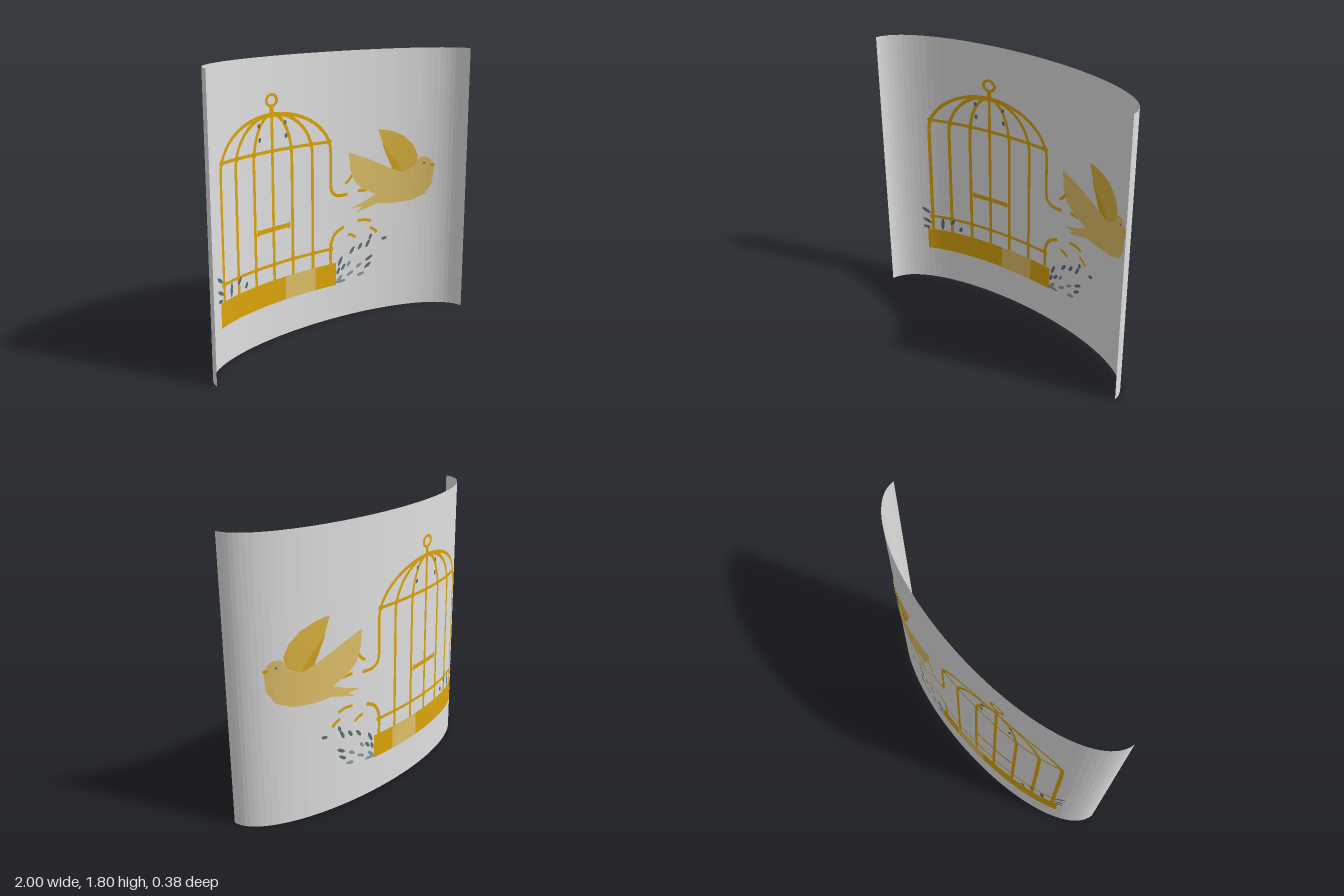
import * as THREE from 'three';

const DEPTH = 0.38, HEIGHT = 1.797, STRIPS = 48;
const mat = (name, color) => new THREE.MeshStandardMaterial({ name, color, side: THREE.DoubleSide });

// Half-ellipse plan of the panel: a list of corners with their inward normals
const corners = Array.from({ length: STRIPS + 1 }, (_, i) => {
  const t = Math.PI * i / STRIPS, x = -Math.cos(t), s = Math.sin(t);
  const n = new THREE.Vector2(-x, s / DEPTH).normalize();
  return { x, z: DEPTH / 2 - DEPTH * s, n };
});

// Keeps the part of a convex polygon where sign * (x - edge) >= 0
function clip(poly, edge, sign) {
  const out = [];
  poly.forEach((p, i) => {
    const q = poly[(i + 1) % poly.length];
    const dp = sign * (p[0] - edge), dq = sign * (q[0] - edge);
    if (dp >= 0) out.push(p);
    if (dp * dq < 0) {
      const f = dp / (dp - dq);
      out.push([edge, p[1] + (q[1] - p[1]) * f]);
    }
  });
  return out;
}

// Wraps flat shapes onto the curved panel, once for each offset from its surface
function wrap(shapes, offsets) {
  const flat = new THREE.ShapeGeometry(shapes, 10).toNonIndexed().attributes.position;
  const pos = [];
  for (let k = 0; k < flat.count; k += 3) {
    const tri = [0, 1, 2].map(j => [flat.getX(k + j), flat.getY(k + j)]);
    for (let i = 0; i < STRIPS; i++) {
      const a = corners[i], b = corners[i + 1];
      const poly = clip(clip(tri, a.x, 1), b.x, -1);
      if (poly.length < 3) continue;
      for (const o of offsets) {
        const place = ([x, y]) => {
          const f = (x - a.x) / (b.x - a.x), mix = THREE.MathUtils.lerp;
          return [mix(a.x + a.n.x * o, b.x + b.n.x * o, f), y, mix(a.z + a.n.y * o, b.z + b.n.y * o, f)];
        };
        for (let j = 1; j < poly.length - 1; j++) {
          const face = [poly[0], poly[j], poly[j + 1]];
          if (o < 0) face.reverse();
          face.forEach(p => pos.push(...place(p)));
        }
      }
    }
  }
  const g = new THREE.BufferGeometry();
  g.setAttribute('position', new THREE.Float32BufferAttribute(pos, 3));
  g.computeVertexNormals();
  return g;
}

const polygon = pts => new THREE.Shape(pts.map(p => new THREE.Vector2(...p)));
const rect = (x0, y0, x1, y1) => polygon([[x0, y0], [x1, y0], [x1, y1], [x0, y1]]);
const ellipse = (x, y, rx, ry, rot = 0) => new THREE.Shape().absellipse(x, y, rx, ry, 0, Math.PI * 2, false, rot);

// Constant-width band along a smooth curve
function stroke(pts, width = 0.022, n = 24) {
  const curve = new THREE.SplineCurve(pts.map(p => new THREE.Vector2(...p)));
  const left = [], right = [];
  for (let i = 0; i <= n; i++) {
    const p = curve.getPoint(i / n), t = curve.getTangent(i / n);
    left.push([p.x - t.y * width / 2, p.y + t.x * width / 2]);
    right.unshift([p.x + t.y * width / 2, p.y - t.x * width / 2]);
  }
  return polygon([...left, ...right]);
}

export function createModel() {
  const root = new THREE.Group();
  root.name = 'curvedPanel';
  const panelGrey = mat('panelGrey', 0xe0e0e0), gold = mat('gold', 0xdca50a);
  const paleGold = mat('paleGold', 0xe0c068), wingGold = mat('wingGold', 0xdcb440);
  const shadeGold = mat('shadeGold', 0xd4a420);
  const slate = mat('slate', 0x5c7078), paleSlate = mat('paleSlate', 0x889a9e);

  const add = (name, material, shapes, layer) => {
    const o = 0.002 + layer * 0.0012;
    const mesh = new THREE.Mesh(wrap(shapes, layer < 0 ? [0] : [o, -o]), material);
    mesh.name = name;
    root.add(mesh);
  };

  add('sheet', panelGrey, [rect(-1, 0, 1, HEIGHT)], -1);

  // Cage bars with their domed tops; the last bar is broken open
  const cx = -0.347, domeY = 1.155, domeH = 0.294;
  const bars = [-0.794, -0.657, -0.502, cx, -0.189, -0.023, 0.124];
  const cage = [];
  bars.forEach((x, i) => {
    const w = x - cx, broken = i === 6;
    cage.push(broken ? rect(x - 0.011, 0.93, x + 0.011, domeY) : rect(x - 0.011, 0.39, x + 0.011, domeY));
    if (i === 3) cage.push(rect(x - 0.011, domeY, x + 0.011, 1.46));
    else cage.push(stroke(Array.from({ length: 13 }, (_, k) => {
      const a = Math.PI / 2 * k / 12;
      return [cx + w * Math.cos(a), domeY + domeH * Math.sin(a)];
    }), 0.022, 30));
    for (const y of [0.498, 1.224]) {
      const inset = y > domeY ? Math.sqrt(1 - ((y - domeY) / domeH) ** 2) : 1;
      cage.push(ellipse(cx + w * inset, y, 0.021, 0.018));
    }
  });
  add('cageBars', gold, cage, 1);
  add('cageHoops', gold, [rect(-0.79, 0.488, 0.124, 0.508), rect(-0.78, 1.214, 0.11, 1.234)], 1);
  add('bentBars', gold, [
    stroke([[0.124, 0.94], [0.137, 0.885], [0.185, 0.856], [0.26, 0.857]]),
    stroke([[0.124, 0.39], [0.124, 0.52], [0.16, 0.598], [0.23, 0.635]]),
  ], 1);
  add('brokenPieces', gold, [
    [[0.34, 0.869], [0.41, 0.863]],
    [[0.24, 0.93], [0.27, 0.95], [0.293, 0.983]],
    [[0.34, 0.66], [0.395, 0.661], [0.445, 0.645]],
    [[0.262, 0.578], [0.295, 0.568], [0.325, 0.548]],
    [[0.435, 0.6], [0.465, 0.585], [0.49, 0.56]],
  ].map(p => stroke(p, 0.019, 8)), 1);

  // Hanging ring and neck
  const ring = ellipse(cx, 1.534, 0.054, 0.043);
  ring.holes.push(new THREE.Path().absellipse(cx, 1.534, 0.031, 0.026, 0, Math.PI * 2));
  add('hangingRing', gold, [ring, rect(cx - 0.016, 1.44, cx + 0.016, 1.497), ellipse(cx, 1.446, 0.06, 0.015)], 1);

  // Perch and base
  add('perch', gold, [rect(-0.48, 0.715, -0.212, 0.745),
    ellipse(-0.475, 0.73, 0.012, 0.021), ellipse(-0.217, 0.73, 0.012, 0.021)], 1);
  add('base', gold, [rect(-0.83, 0.238, 0.168, 0.394)], 1);
  add('basePlate', paleGold, [rect(-0.253, 0.238, -0.003, 0.394)], 2);

  // Bird
  add('farWing', wingGold, [polygon([[0.494, 1.267], [0.53, 1.266], [0.59, 1.252], [0.678, 1.213], [0.743, 1.149],
    [0.775, 1.075], [0.76, 1.0], [0.667, 0.955], [0.6, 0.995], [0.577, 1.05], [0.53, 1.16]])], 1);
  add('wingShade', shadeGold, [polygon([[0.521, 1.17], [0.56, 1.125], [0.625, 1.05], [0.675, 0.968],
    [0.6, 0.99], [0.577, 1.04]])], 2);
  add('birdBody', paleGold, [polygon([[0.266, 1.138], [0.4, 1.085], [0.52, 1.03], [0.667, 0.961], [0.748, 0.99],
    [0.765, 1.04], [0.795, 1.062], [0.828, 1.063], [0.858, 1.04], [0.875, 0.99], [0.866, 0.876], [0.823, 0.8],
    [0.732, 0.76], [0.598, 0.753], [0.491, 0.763], [0.325, 0.72], [0.373, 0.755], [0.287, 0.758], [0.384, 0.787],
    [0.48, 0.828], [0.427, 0.854], [0.373, 0.876], [0.309, 0.94], [0.277, 1.026]])], 3);
  add('beak', gold, [polygon([[0.848, 1.006], [0.868, 0.99], [0.882, 1.003], [0.868, 1.018]])], 4);
  add('eye', slate, [ellipse(0.815, 1.018, 0.008, 0.006)], 4);

  // Scattered leaves: x, y, half length, angle
  const leaf = ([x, y, r, a]) => ellipse(x, y, r, 0.011, a);
  add('leaves', slate, [
    [-0.835, 0.54, 0.033, -0.7], [-0.83, 0.46, 0.032, -0.6], [-0.835, 0.41, 0.022, -0.3],
    [-0.725, 0.445, 0.045, 1.5], [-0.65, 0.475, 0.026, 1], [-0.59, 0.43, 0.022, 1.1],
    [0.2, 0.4, 0.036, 1.1], [0.225, 0.355, 0.025, 0.9], [0.295, 0.46, 0.03, 0.9], [0.36, 0.48, 0.026, 1],
    [0.42, 0.49, 0.03, 1.1], [0.44, 0.535, 0.02, 1.2], [0.545, 0.51, 0.02, 0.2], [0.43, 0.385, 0.032, 0.5],
    [0.42, 0.335, 0.03, 0.6], [0.185, 0.335, 0.025, 1.2],
    [-0.45, 1.305, 0.016, 1.4], [-0.455, 1.39, 0.014, 1.5], [-0.235, 1.305, 0.016, 1.7], [-0.24, 1.39, 0.014, 1.6],
  ].map(leaf), 2);
  add('paleLeaves', paleSlate, [[0.28, 0.3, 0.03, 0.4], [0.35, 0.345, 0.026, 0.5], [0.365, 0.28, 0.03, 0.2],
    [0.2, 0.258, 0.045, 0], [0.27, 0.37, 0.022, 0.9], [0.195, 0.28, 0.03, 0.7]].map(leaf), 2);

  return root;
}
